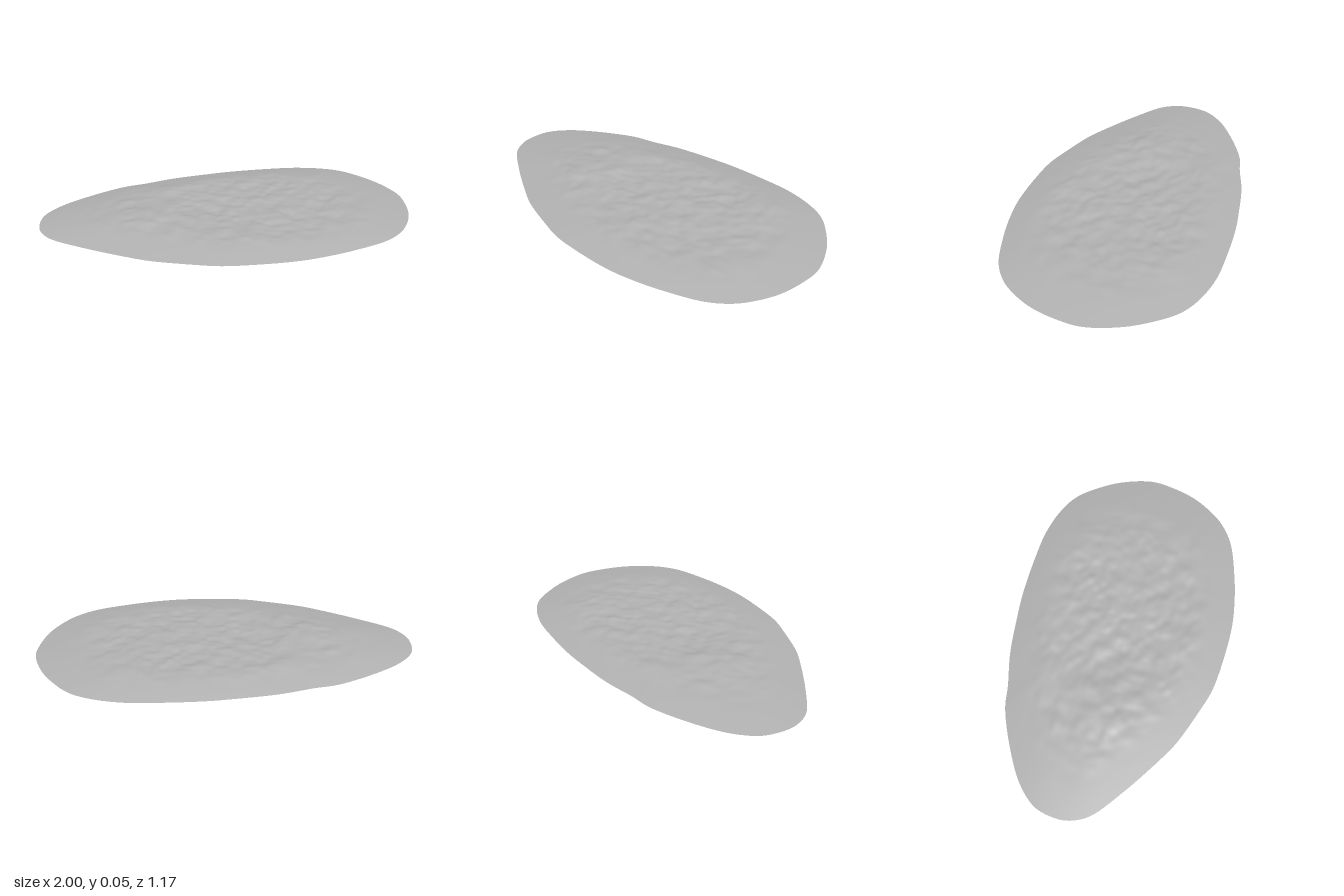
import * as THREE from 'three';

// Shoreline as x, z pairs
const OUTLINE = [
  [-1, -0.1], [-0.97, -0.23], [-0.88, -0.33], [-0.73, -0.42], [-0.5, -0.513], [-0.38, -0.53],
  [-0.2, -0.565], [0, -0.58], [0.16, -0.585], [0.4, -0.57], [0.55, -0.55], [0.7, -0.5],
  [0.81, -0.43], [0.9, -0.31], [0.96, -0.19], [1, -0.02], [0.98, 0.12], [0.94, 0.24],
  [0.88, 0.34], [0.81, 0.42], [0.7, 0.49], [0.5, 0.545], [0.35, 0.57], [0.2, 0.58],
  [0, 0.565], [-0.18, 0.535], [-0.3, 0.49], [-0.5, 0.4], [-0.6, 0.335], [-0.8, 0.185],
  [-0.95, 0.05], [-0.99, -0.03],
];
const CENTRE = { x: 0.1, z: -0.04 };
const SEGMENTS = 192, RINGS = 64;

// Seeded lattice value and smooth noise in -1..1
function lattice(i, j) {
  const s = Math.sin(i * 127.1 + j * 311.7 + 4.2) * 43758.5453;
  return (s - Math.floor(s)) * 2 - 1;
}
function noise(x, z) {
  const i = Math.floor(x), j = Math.floor(z);
  const u = THREE.MathUtils.smoothstep(x - i, 0, 1), v = THREE.MathUtils.smoothstep(z - j, 0, 1);
  const { lerp } = THREE.MathUtils;
  return lerp(lerp(lattice(i, j), lattice(i + 1, j), u), lerp(lattice(i, j + 1), lattice(i + 1, j + 1), u), v);
}

// Domed shoulder, level middle, and small rocky lumps kept away from the rim
function height(x, z, r) {
  const dome = 0.036 * Math.sin(Math.min(1, (1 - r) / 0.46) * Math.PI / 2);
  const rough = THREE.MathUtils.smoothstep(1 - r, 0.12, 0.42);
  const lumps = 0.005 * noise(x * 6, z * 6) + 0.005 * noise(x * 13 + 7, z * 13)
    + 0.0035 * noise(x * 26, z * 26 + 3);
  const knoll = 0.007 * Math.exp(-((x + 0.42) ** 2 + z ** 2) / 0.04);
  return Math.max(0, dome + rough * (lumps + knoll));
}

// Concentric rings scaled from the shoreline toward the middle; underside is open
function moundGeometry() {
  const shore = new THREE.CatmullRomCurve3(OUTLINE.map(([x, z]) => new THREE.Vector3(x, 0, z)), true)
    .getSpacedPoints(SEGMENTS).slice(0, SEGMENTS);
  const positions = [CENTRE.x, height(CENTRE.x, CENTRE.z, 0), CENTRE.z];
  const index = [];
  for (let k = 1; k <= RINGS; k++) {
    const r = k / RINGS;
    shore.forEach((p, a) => {
      const x = CENTRE.x + (p.x - CENTRE.x) * r, z = CENTRE.z + (p.z - CENTRE.z) * r;
      positions.push(x, height(x, z, r), z);
      const b = (a + 1) % SEGMENTS, outer = 1 + (k - 1) * SEGMENTS, inner = outer - SEGMENTS;
      if (k === 1) index.push(0, outer + b, outer + a);
      else index.push(inner + a, inner + b, outer + a, inner + b, outer + b, outer + a);
    });
  }
  const geometry = new THREE.BufferGeometry();
  geometry.setAttribute('position', new THREE.Float32BufferAttribute(positions, 3));
  geometry.setIndex(index);
  geometry.computeVertexNormals();
  return geometry;
}

export function createModel() {
  const stone = new THREE.MeshStandardMaterial({ color: 0xb2b2b2, side: THREE.DoubleSide });
  stone.name = 'stone grey';
  const mound = new THREE.Mesh(moundGeometry(), stone);
  mound.name = 'groundMound';
  const group = new THREE.Group();
  group.name = 'rockyMound';
  group.add(mound);
  return group;
}
